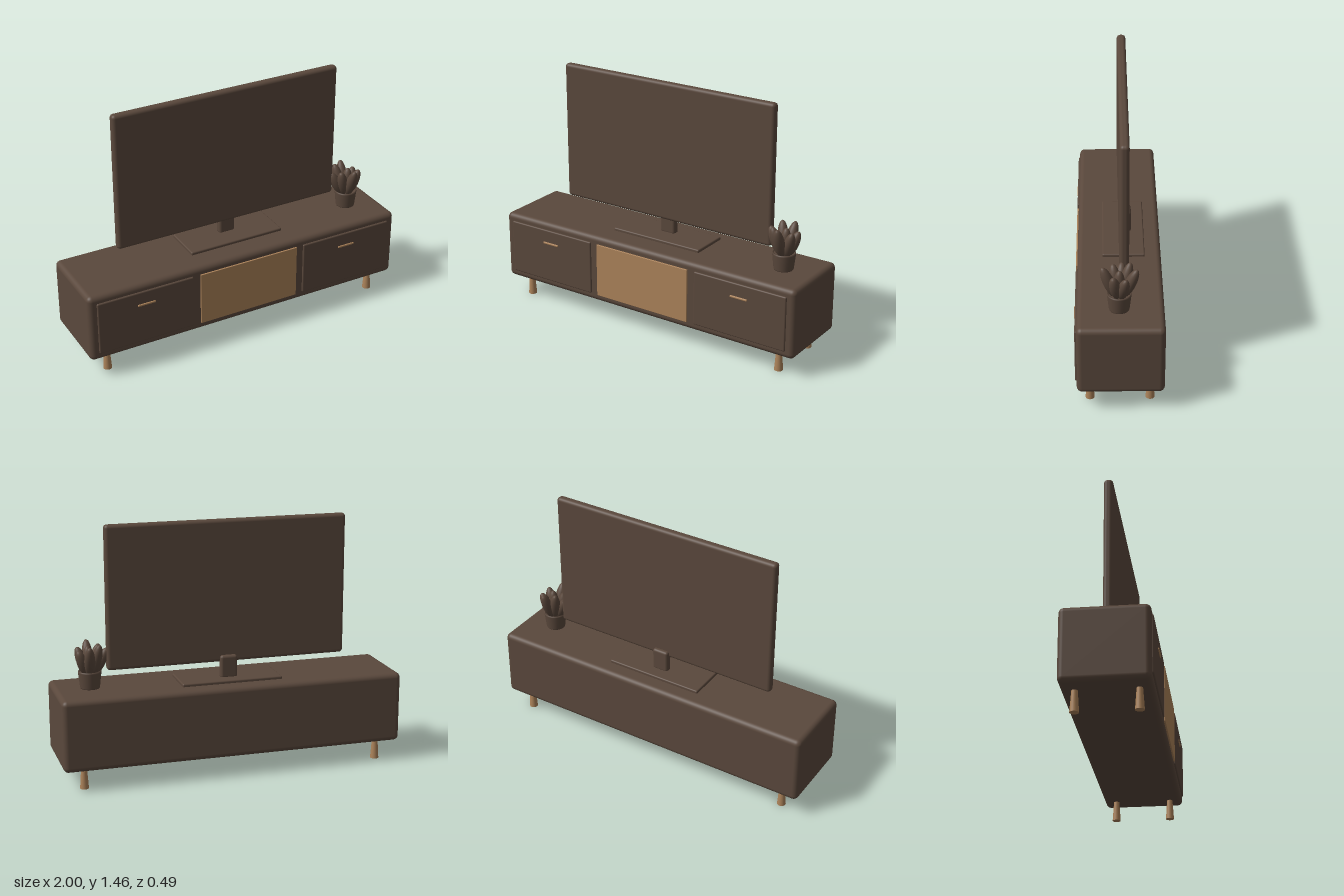
import * as THREE from 'three';
import { RoundedBoxGeometry } from 'three/addons/geometries/RoundedBoxGeometry.js';

const brown = new THREE.MeshStandardMaterial({ color: 0x5a483c });
brown.name = 'dark brown';
const tan = new THREE.MeshStandardMaterial({ color: 0xab8259 });
tan.name = 'light wood';

export function createModel() {
  const model = new THREE.Group();
  model.name = 'televisionStand';

  const add = (name, geometry, material, x = 0, y = 0, z = 0) => {
    const mesh = new THREE.Mesh(geometry, material);
    mesh.name = name;
    mesh.position.set(x, y, z);
    model.add(mesh);
    return mesh;
  };
  // Rounded box given by its limits on each axis
  const box = (name, material, [x0, x1], [y0, y1], [z0, z1], radius) =>
    add(name, new RoundedBoxGeometry(x1 - x0, y1 - y0, z1 - z0, 4, radius), material,
      (x0 + x1) / 2, (y0 + y1) / 2, (z0 + z1) / 2);

  // Cabinet with a light middle panel
  box('cabinet', brown, [-1, 1], [0.118, 0.532], [-0.243, 0.23], 0.03);
  box('middlePanel', tan, [-0.315, 0.315], [0.163, 0.487], [0.2, 0.239], 0.002);

  // Drawers, handles and tapered legs on both sides
  for (const side of [-1, 1]) {
    const span = (a, b) => (side > 0 ? [a, b] : [-b, -a]);
    const prefix = side > 0 ? 'left' : 'right';
    box(prefix + 'Drawer', brown, span(0.36, 0.95), [0.163, 0.489], [0.2, 0.239], 0.008);
    box(prefix + 'Handle', tan, span(0.6, 0.71), [0.4, 0.413], [0.23, 0.245], 0.005);
    for (const [end, z] of [['Front', 0.16], ['Back', -0.168]])
      add(prefix + end + 'Leg', new THREE.CylinderGeometry(0.016, 0.025, 0.125, 24), tan,
        side * 0.876, 0.0625, z);
  }

  // Television: base plate, neck and thin screen
  box('televisionBase', brown, [-0.296, 0.296], [0.525, 0.549], [-0.15, 0.09], 0.008);
  box('televisionNeck', brown, [-0.05, 0.05], [0.54, 0.675], [-0.077, -0.03], 0.015);
  box('televisionScreen', brown, [-0.706, 0.706], [0.634, 1.459], [-0.054, -0.003], 0.02);

  // Plant pot
  const px = 0.797;
  const profile = [[0, 0], [0.054, 0], [0.056, 0.006], [0.066, 0.093], [0.065, 0.1], [0.06, 0.101], [0.056, 0.09], [0, 0.09]];
  add('plantPot', new THREE.LatheGeometry(profile.map(p => new THREE.Vector2(...p)), 32), brown, px, 0.531, 0);

  // Plump leaves leaning outwards: tip offset x, tip height, tip offset z
  const leafTips = [
    [0.015, 0.785, -0.095], [-0.05, 0.79, -0.06], [-0.1, 0.76, -0.015], [-0.06, 0.775, 0.035],
    [0.0, 0.79, 0.092], [0.065, 0.765, 0.035], [0.07, 0.755, -0.035], [0.01, 0.775, 0.0],
  ];
  const up = new THREE.Vector3(0, 1, 0);
  for (const [dx, y, dz] of leafTips) {
    const root = new THREE.Vector3(px + dx * 0.2, 0.605, dz * 0.2);
    const tip = new THREE.Vector3(px + dx, y, dz);
    const direction = tip.clone().sub(root);
    const leaf = add('leaf', new THREE.SphereGeometry(1, 20, 14), brown);
    leaf.scale.set(0.031, direction.length() / 2, 0.031);
    leaf.position.copy(root).add(tip).multiplyScalar(0.5);
    leaf.quaternion.setFromUnitVectors(up, direction.normalize());
  }
  return model;
}
